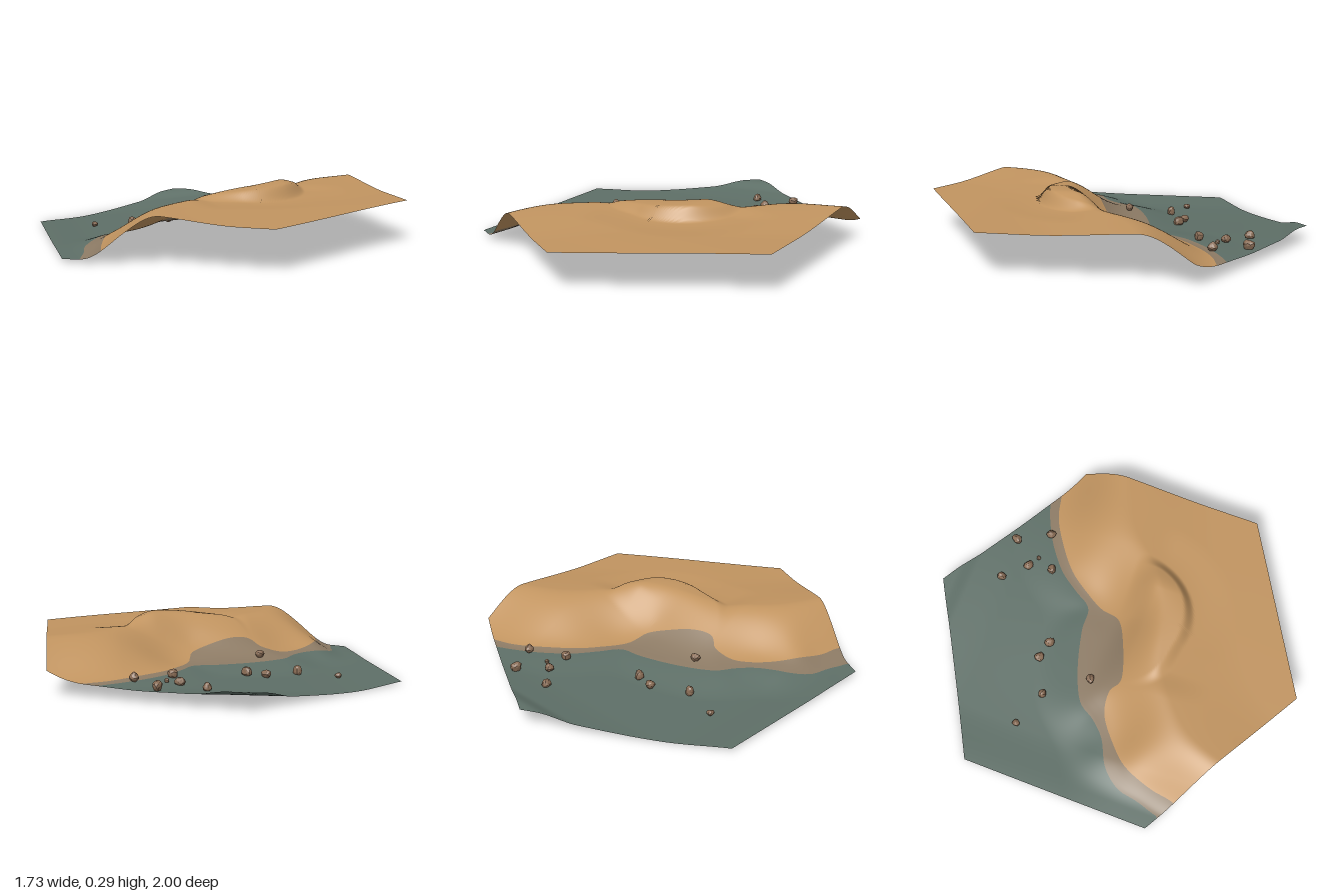
import * as THREE from 'three';

const { smoothstep: step, lerp, clamp } = THREE.MathUtils;
const HALF_WIDTH = Math.sqrt(3) / 2;
const COLUMNS = 180;

const mat = (name, color, side = THREE.FrontSide) => {
  const m = new THREE.MeshStandardMaterial({ color, side });
  m.name = name;
  return m;
};

const curve = (points) =>
  new THREE.SplineCurve(points.map(([x, z]) => new THREE.Vector2(x, z))).getPoints(140);

// Edge of the grey floor, from left to right
const floorEdge = curve([
  [-0.87, 0.9], [-0.79, 0.54], [-0.755, 0.42], [-0.73, 0.3], [-0.65, 0.2], [-0.52, 0.13], [-0.44, 0.05],
  [-0.37, -0.05], [-0.2, -0.13], [0, -0.185], [0.13, -0.2], [0.2, -0.3], [0.28, -0.41],
  [0.4, -0.51], [0.52, -0.58], [0.64, -0.63], [0.87, -0.7],
]);

// Edge of the dry sand
const sandEdge = curve([
  [-0.75, 0.9], [-0.7, 0.6], [-0.675, 0.45], [-0.62, 0.3], [-0.53, 0.2], [-0.4, 0.1], [-0.28, 0.08],
  [-0.2, 0.12], [0, 0.05], [0.115, -0.02], [0.145, -0.12], [0.2, -0.22], [0.3, -0.36],
  [0.45, -0.48], [0.58, -0.555], [0.71, -0.59], [0.87, -0.64],
]);

// z of an edge curve at a given x
function edgeZ(points, x) {
  for (let i = 1; i < points.length; i++) {
    const a = points[i - 1], b = points[i];
    if (x >= a.x && x <= b.x) return lerp(a.y, b.y, (x - a.x) / (b.x - a.x || 1));
  }
  return x < points[0].x ? points[0].y : points[points.length - 1].y;
}

const shore = floorEdge.slice(1, -1).map((p, i) => {
  const t = floorEdge[i + 2].clone().sub(floorEdge[i]).normalize();
  return { x: p.x, z: p.y, nx: -t.y, nz: t.x };
});

// Smooth signed distance from the floor edge, positive on the sand
function shoreDistance(x, z) {
  let sum = 0, total = 0;
  for (const p of shore) {
    const dx = x - p.x, dz = z - p.z;
    const w = 1 / (dx * dx + dz * dz + 0.0008) ** 2;
    sum += w * (dx * p.nx + dz * p.nz);
    total += w;
  }
  return sum / total;
}

function height(x, z) {
  // The slope is set back in the middle bay and at the right end
  const bay = 0.055 * Math.exp(-(((x + 0.04) / 0.26) ** 2) - ((z - 0.03) / 0.2) ** 2);
  const d = shoreDistance(x, z) - bay - 0.05 * step(x, 0.5, 0.87);
  const floor = 0.052 * step(x, -0.75, 0.5) + 0.01 * step(-x, 0.6, 0.87)
    + 0.025 * step(-z, 0.65, 1) + 0.026 * step(-z, 0.86, 0.96);
  // Low shelf along the shore
  const shelf = lerp(floor, 0.066 - 0.042 * step(-x, 0.6, 0.8), step(d, -0.22, 0.05) * step(-z, -1, 0.9) ** 0.1);
  const plateau = 0.243 - 0.028 * step(d, 0.34, 0.8) - 0.01 * step(z, 0.55, 1);
  // Crescent dune with a steep outer face
  const r = Math.hypot(x - 0.12, z - 0.03);
  const rim = 0.32 + 0.06 * step(-x, -0.05, 0.2);
  const size = step(x, -0.26, 0.3) * step(z, -0.03, 0.13) * (1 - 0.6 * step(x, 0.29, 0.46));
  const dune = 0.054 * size * step(r, -0.12, rim - 0.04) * (1 - step(r, rim - 0.03, rim + 0.03));
  const hollow = 0.014 * step(x, -0.25, -0.1) * step(z, 0, 0.15)
    * step(r, rim - 0.03, rim + 0.03) * (1 - step(r, rim + 0.03, rim + 0.25));
  return lerp(shelf, plateau, step(d, 0.01, 0.41)) + dune - hollow;
}

// One strip of ground between two boundaries given as z(x)
function ground(name, material, from, to, rows) {
  const pos = [], nor = [], index = [], n = new THREE.Vector3(), e = 0.004;
  for (let i = 0; i <= COLUMNS; i++) {
    const x = lerp(-HALF_WIDTH, HALF_WIDTH, i / COLUMNS);
    const limit = 1 - Math.abs(x) / Math.sqrt(3);
    const z0 = clamp(from(x), -limit, limit), z1 = clamp(to(x), -limit, limit);
    for (let j = 0; j <= rows; j++) {
      const z = lerp(z0, z1, j / rows);
      pos.push(x, height(x, z), z);
      n.set(height(x - e, z) - height(x + e, z), 2 * e, height(x, z - e) - height(x, z + e)).normalize();
      nor.push(n.x, n.y, n.z);
      if (i < COLUMNS && j < rows) {
        const a = i * (rows + 1) + j, b = a + rows + 1;
        index.push(a, a + 1, b, b, a + 1, b + 1);
      }
    }
  }
  const g = new THREE.BufferGeometry();
  g.setAttribute('position', new THREE.Float32BufferAttribute(pos, 3));
  g.setAttribute('normal', new THREE.Float32BufferAttribute(nor, 3));
  g.setIndex(index);
  const mesh = new THREE.Mesh(g, material);
  mesh.name = name;
  return mesh;
}

// Lumpy stone; matching corners get the same offset
function stone(seed) {
  const g = new THREE.IcosahedronGeometry(1, 1);
  const p = g.attributes.position, v = new THREE.Vector3();
  for (let i = 0; i < p.count; i++) {
    v.fromBufferAttribute(p, i);
    const k = Math.sin(v.x * 3.1 + seed * 1.7) + Math.sin(v.y * 4.3 + seed * 2.9) + Math.sin(v.z * 3.7 + seed * 4.1);
    v.multiplyScalar(1 + 0.09 * k);
    p.setXYZ(i, v.x, v.y, v.z);
  }
  g.computeVertexNormals();
  return g;
}

export function createModel() {
  const model = new THREE.Group();
  model.name = 'desertTile';
  const sand = mat('sand', 0xc19460, THREE.DoubleSide);
  const damp = mat('dampSand', 0x8d7b65, THREE.DoubleSide);
  const clay = mat('greyFloor', 0x5e6f67, THREE.DoubleSide);
  const rock = mat('rock', 0x896c55);

  // Ground bands from back to front
  const floorZ = (x) => edgeZ(floorEdge, x);
  const sandZ = (x) => Math.max(edgeZ(sandEdge, x), floorZ(x));
  model.add(
    ground('floor', clay, () => -1, floorZ, 50),
    ground('dampBand', damp, floorZ, sandZ, 10),
    ground('sandPlateau', sand, sandZ, () => 1, 90),
  );

  // Scattered stones: x, z, radius
  const stones = new THREE.Group();
  stones.name = 'stones';
  [
    [0.14, -0.715, 0.024], [0.37, -0.72, 0.028], [0.25, -0.6, 0.025], [0.31, -0.565, 0.012],
    [0.463, -0.55, 0.026], [0.27, -0.47, 0.025], [-0.59, -0.325, 0.018], [-0.395, -0.255, 0.025],
    [-0.215, -0.345, 0.025], [-0.12, -0.325, 0.027], [-0.245, -0.04, 0.024],
  ].forEach(([x, z, r], i) => {
    const m = new THREE.Mesh(stone(i + 1), rock);
    m.name = 'stone';
    m.scale.set(r, r * 0.92, r * 0.92);
    m.rotation.y = i * 1.3;
    m.position.set(x, height(x, z) + r * 0.7, z);
    stones.add(m);
  });
  model.add(stones);
  return model;
}
